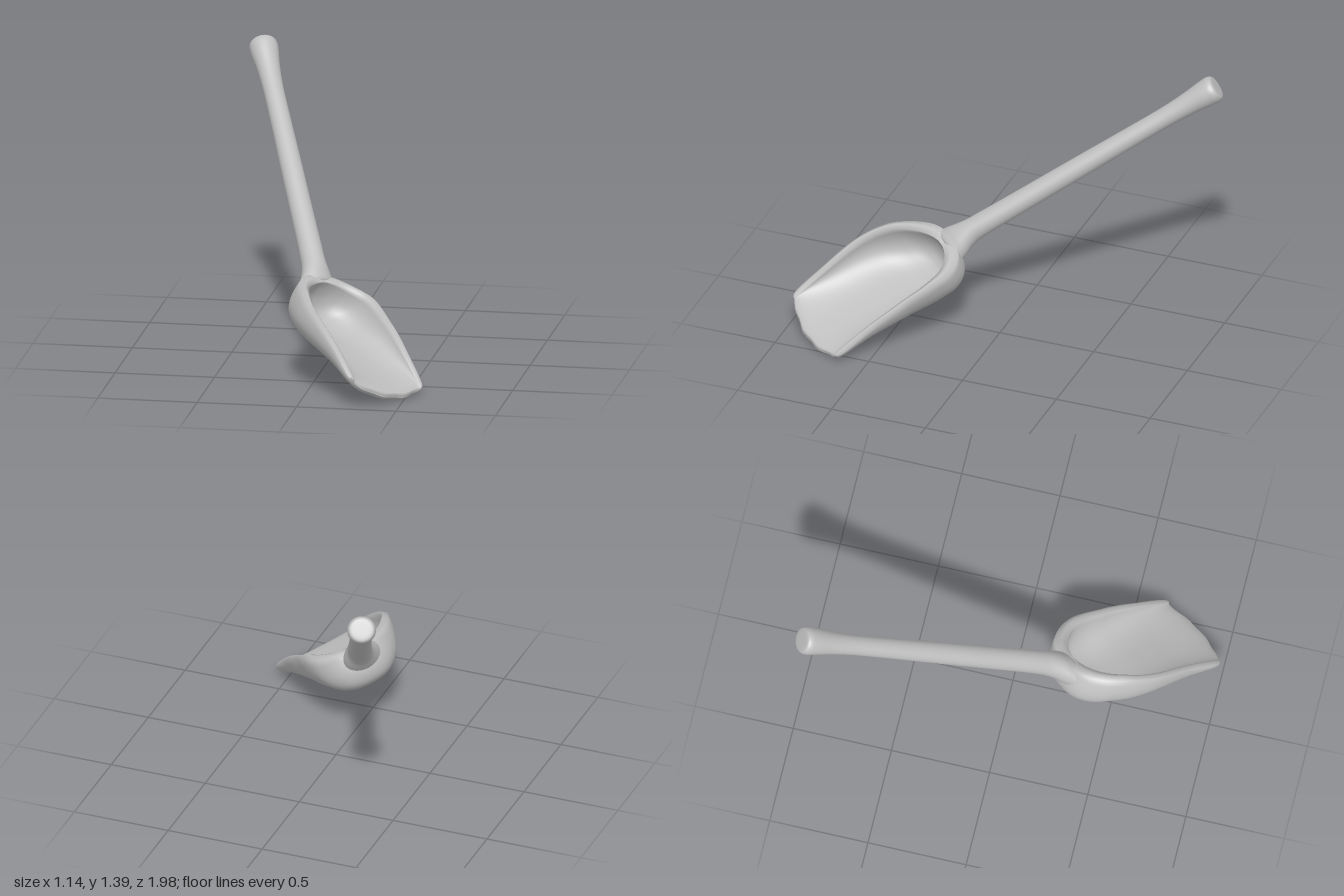
import * as THREE from 'three';

// Local frame of the scoop: u across the blade, v from the tip back to the handle, n out of the opening
const V = new THREE.Vector3(-0.545, 0.545, -0.636).normalize();
const N = new THREE.Vector3(0.56, 0.8, 0.21);
N.addScaledVector(V, -N.dot(V)).normalize();
const U = new THREE.Vector3().crossVectors(V, N);
const FRAME = new THREE.Matrix4().makeBasis(U, V, N).setPosition(0.42, 0.12, 0.81);
const { smoothstep, clamp } = THREE.MathUtils;

// Smooth skin over a list of closed rings of [u, v, n]
function loft(rings) {
  const m = rings[0].length, index = [];
  for (let i = 0; i < rings.length - 1; i++) {
    for (let j = 0; j < m; j++) {
      const a = i * m + j, b = i * m + (j + 1) % m;
      index.push(a, a + m, b, b, a + m, b + m);
    }
  }
  const g = new THREE.BufferGeometry();
  g.setAttribute('position', new THREE.Float32BufferAttribute(rings.flat(2), 3));
  g.setIndex(index);
  g.applyMatrix4(FRAME);
  g.computeVertexNormals();
  return g;
}

const curve = (rows) => new THREE.CatmullRomCurve3(rows.map((r) => new THREE.Vector3(...r)));

// Bowl: outer and inner shells as [v, half width, depth], meeting at the tip
function bowlGeometry() {
  const outer = curve([
    [0, 0.225, 0.035], [0.012, 0.242, 0.06], [0.2, 0.252, 0.13], [0.4, 0.262, 0.197], [0.56, 0.252, 0.237],
    [0.66, 0.222, 0.237], [0.73, 0.175, 0.205], [0.775, 0.12, 0.15], [0.797, 0.055, 0.075], [0.802, 0, 0],
  ]);
  const inner = curve([
    [0, 0.225, 0.035], [0.012, 0.218, 0.017], [0.2, 0.218, 0.085], [0.39, 0.225, 0.153], [0.53, 0.214, 0.194],
    [0.62, 0.185, 0.194], [0.68, 0.14, 0.163], [0.72, 0.085, 0.105], [0.738, 0.035, 0.045], [0.742, 0, 0],
  ]);
  const rimHeight = (v) => 0.022 * Math.sin(Math.PI * clamp(v / 0.65, 0, 1)) - 0.045 * smoothstep(v, 0.58, 0.8);
  const power = (x) => Math.sign(x) * Math.abs(x) ** 0.77;
  const steps = 72, arc = 32, rings = [];
  for (let i = 0; i <= steps; i++) {
    const o = outer.getPoint(i / steps), k = inner.getPoint(i / steps), ring = [];
    const add = (p, a, lift = 0) => {
      const u = -p.y * power(Math.cos(a));
      // The lip bows forward and is slightly worn
      const lip = Math.max(0, 1 - p.x / 0.35);
      const wear = 0.004 * Math.sin(u * 45) * lip ** 6;
      const v = p.x - 0.07 * (1 - (u / 0.242) ** 2) * lip + wear;
      const drift = 0.045 * smoothstep(p.x, 0.4, 0.8);
      ring.push([u + drift, v, rimHeight(p.x) - p.z * power(Math.max(0, Math.sin(a))) + lift]);
    };
    const mid = o.clone().lerp(k, 0.5), lift = Math.max(0, o.y - k.y) * 0.3;
    for (let j = 0; j <= arc; j++) add(o, Math.PI * j / arc);
    add(mid, Math.PI, lift);
    for (let j = arc; j >= 0; j--) add(k, Math.PI * j / arc);
    add(mid, 0, lift);
    rings.push(ring);
  }
  return loft(rings);
}

// Handle: [v, n, radius] from the flared neck to the rounded, flat-ended knob
function handleGeometry() {
  const path = curve([
    [0.757, -0.108, 0], [0.76, -0.108, 0.07], [0.8, -0.092, 0.071], [0.86, -0.072, 0.064], [0.95, -0.056, 0.058],
    [1.2, -0.026, 0.055], [1.5, 0.01, 0.053], [1.8, 0.046, 0.05], [2.03, 0.073, 0.05], [2.16, 0.089, 0.057],
    [2.26, 0.101, 0.068], [2.295, 0.105, 0.068], [2.312, 0.107, 0.06], [2.316, 0.108, 0.05], [2.318, 0.108, 0],
  ]);
  const steps = 98, sides = 32, rings = [];
  for (let i = 0; i <= steps; i++) {
    const p = path.getPoint(i / steps), ring = [];
    const tilt = smoothstep(p.x, 0.8, 1);
    const flare = 1 + 0.4 * (1 - smoothstep(p.x, 0.76, 0.92));
    const r = Math.max(0, p.z);
    for (let j = 0; j < sides; j++) {
      const a = 2 * Math.PI * j / sides, du = r * flare * Math.cos(a), dn = r * Math.sin(a);
      const u = 0.067 + (p.x - 0.874) * 0.252;
      ring.push([u + du, p.x - tilt * (0.252 * du + 0.12 * dn), p.y + dn]);
    }
    rings.push(ring);
  }
  return loft(rings);
}

export function createModel() {
  const grey = new THREE.MeshStandardMaterial({ color: 0xbfbfbf });
  grey.name = 'plain grey';
  const model = new THREE.Group();
  model.name = 'scoop';
  for (const [name, geometry] of [['bowl', bowlGeometry()], ['handle', handleGeometry()]]) {
    const mesh = new THREE.Mesh(geometry, grey);
    mesh.name = name;
    model.add(mesh);
  }
  // Stand on the ground, centred
  const box = new THREE.Box3().setFromObject(model, true);
  const c = box.getCenter(new THREE.Vector3());
  model.position.set(-c.x, -box.min.y, -c.z);
  return model;
}
